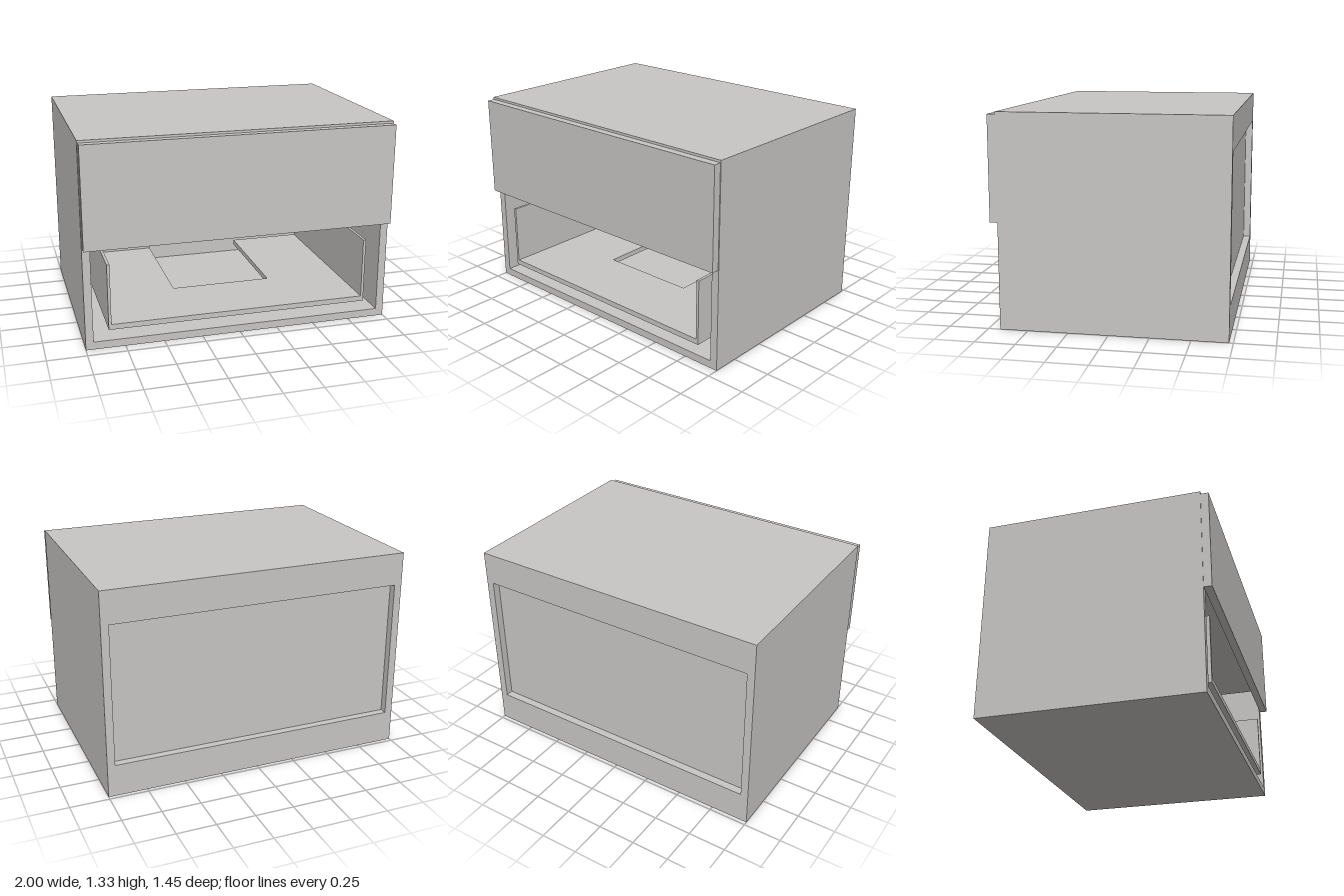
import * as THREE from 'three';

const paint = new THREE.MeshStandardMaterial({ color: 0xc8c6c4 });
paint.name = 'warm grey';

// Box given by its extents on each axis
function panel(parent, name, [x0, x1], [y0, y1], [z0, z1]) {
  const mesh = new THREE.Mesh(new THREE.BoxGeometry(x1 - x0, y1 - y0, z1 - z0), paint);
  mesh.position.set((x0 + x1) / 2, (y0 + y1) / 2, (z0 + z1) / 2);
  mesh.name = name;
  parent.add(mesh);
}

const BACK = -0.725, FRONT = 0.675, TOP = 1.333, T = 0.05;

// Open drawer box whose floor is cut out at the back for the pipes
function makeDrawer(name, y) {
  const drawer = new THREE.Group();
  drawer.name = name;
  drawer.position.y = y;
  const back = -0.6, notch = 0.335, notchFront = 0.216, half = 0.835;

  const outline = new THREE.Shape([
    [-half, -FRONT], [half, -FRONT], [half, -back], [notch, -back],
    [notch, -notchFront], [-notch, -notchFront], [-notch, -back], [-half, -back],
  ].map(([a, b]) => new THREE.Vector2(a, b)));
  const floor = new THREE.Mesh(
    new THREE.ExtrudeGeometry(outline, { depth: 0.035, bevelEnabled: false }).rotateX(-Math.PI / 2), paint);
  floor.name = 'drawerFloor';
  drawer.add(floor);

  panel(drawer, 'drawerSideLeft', [half, 0.853], [0, 0.43], [back, FRONT]);
  panel(drawer, 'drawerSideRight', [-0.853, -half], [0, 0.43], [back, FRONT]);
  panel(drawer, 'drawerBack', [-half, -notch], [-0.013, 0.425], [back - 0.02, back]);
  return drawer;
}

export function createModel() {
  const model = new THREE.Group();
  model.name = 'drawerCabinet';

  // Carcass
  panel(model, 'sideLeft', [1 - T, 1], [0, TOP], [BACK, FRONT]);
  panel(model, 'sideRight', [-1, T - 1], [0, TOP], [BACK, FRONT]);
  panel(model, 'bottom', [T - 1, 1 - T], [0, T], [BACK, FRONT]);
  panel(model, 'top', [T - 1, 1 - T], [TOP - T, TOP], [BACK, FRONT]);

  // Recessed back with a rail above and below
  panel(model, 'backPanel', [T - 1, 1 - T], [T, TOP - T], [BACK + T, BACK + T + 0.02]);
  panel(model, 'backRailLower', [T - 1, 1 - T], [T, 0.21], [BACK, BACK + T]);
  panel(model, 'backRailUpper', [T - 1, 1 - T], [1.122, TOP - T], [BACK, BACK + T]);

  // Drawers, the upper one with its front
  model.add(makeDrawer('lowerDrawer', 0.12), makeDrawer('upperDrawer', 0.785));
  panel(model, 'upperDrawerFront', [-0.995, 0.995], [0.665, 1.318], [FRONT, 0.725]);

  return model;
}
